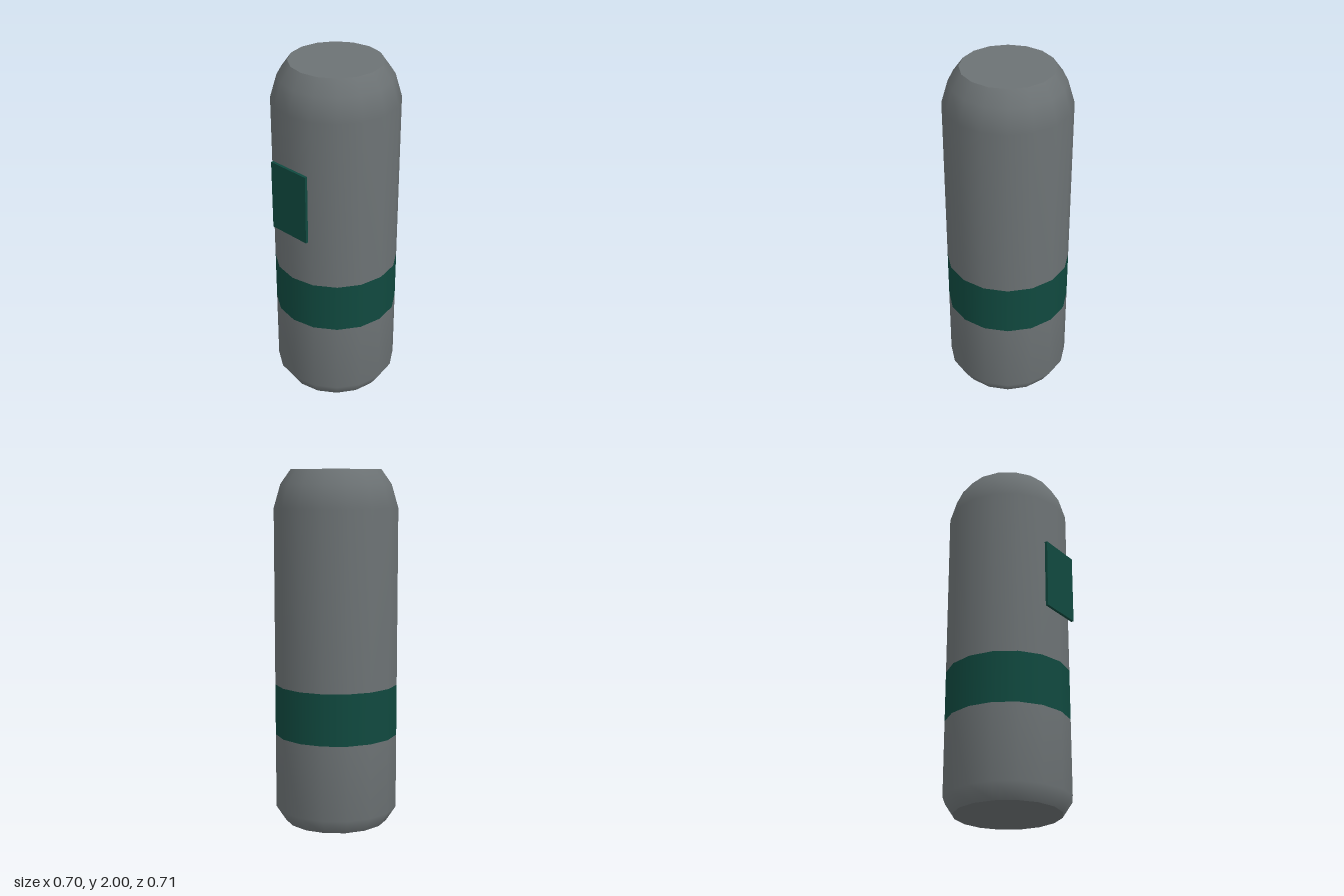
import * as THREE from 'three';

const SIDES = 16;
const AXIS_Z = -0.0075; // body sits slightly back to balance the front plate

export function createModel() {
  const model = new THREE.Group();
  model.name = 'canister';

  const grey = new THREE.MeshStandardMaterial({ color: 0x6c7274 });
  grey.name = 'slate grey';
  const green = new THREE.MeshStandardMaterial({ color: 0x10493f });
  green.name = 'dark green';

  const add = (name, geometry, material, y = 0, z = AXIS_Z) => {
    const mesh = new THREE.Mesh(geometry, material);
    mesh.name = name;
    mesh.position.set(0, y, z);
    model.add(mesh);
  };
  const lathe = (points) =>
    new THREE.LatheGeometry(points.map(([r, y]) => new THREE.Vector2(r, y)), SIDES);
  const disc = (radius, tilt) => new THREE.CircleGeometry(radius, SIDES).rotateX(tilt);

  // Body shell, split around the flush coloured band
  add('lowerBody', lathe([[0.295, 0], [0.35, 0.085], [0.35, 0.51]]), grey);
  add('band', lathe([[0.35, 0.51], [0.35, 0.8]]), green);
  add('upperBody', lathe([[0.35, 0.8], [0.35, 1.79], [0.312, 1.92], [0.255, 2]]), grey);

  // Flat end caps
  add('topCap', disc(0.255, -Math.PI / 2), grey, 2);
  add('bottomCap', disc(0.295, Math.PI / 2), grey, 0);

  // Front plate, touching the foremost body edge
  add('frontPlate', new THREE.BoxGeometry(0.255, 0.4, 0.016), green, 1.29, 0.3495);

  return model;
}
